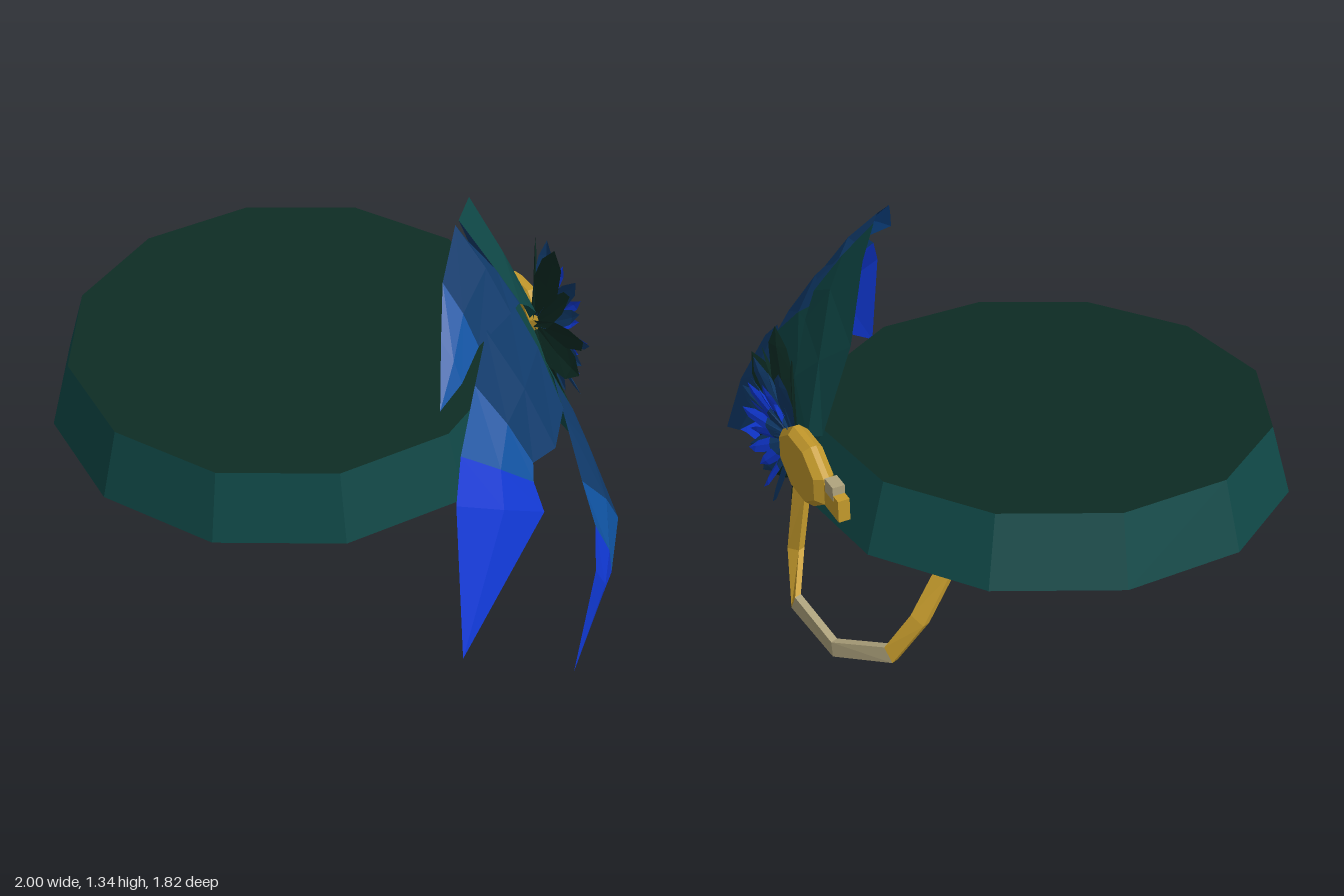
import * as THREE from 'three';

const material = (name, color, double = true) => {
  const m = new THREE.MeshStandardMaterial({ color, flatShading: true, side: double ? THREE.DoubleSide : THREE.FrontSide });
  m.name = name;
  return m;
};
const V = (a) => new THREE.Vector3(...a);

export function createModel() {
  const model = new THREE.Group();
  const darkGreen = material('dark green', 0x0d2c24);
  const teal = material('teal', 0x0f4746);
  const navy = material('navy', 0x103a6a);
  const midBlue = material('mid blue', 0x0f52a0);
  const brightBlue = material('bright blue', 0x1038d4);
  const gold = material('gold', 0xc49a2c, false);
  const pale = material('pale gold', 0xb0a47e, false);
  const plumage = [teal, navy, midBlue, brightBlue, darkGreen];

  const add = (name, geometry, mat, parent = model) => {
    const mesh = new THREE.Mesh(geometry, mat);
    mesh.name = name;
    parent.add(mesh);
    return mesh;
  };

  // Tilted twelve-sided cap: rim, crown and underside
  const cap = add('cap', new THREE.CylinderGeometry(0.75, 0.82, 0.233, 12), [teal, darkGreen, navy]);
  cap.rotation.set(0.095, -0.037, 0);
  cap.position.set(-0.18, 0.664, -0.062);

  // Feather from rows of [upper edge, lower edge, colour], closed by a tip and raised along the middle
  function feather(name, rows, tip, bulge) {
    const pos = [];
    const geo = new THREE.BufferGeometry();
    const sections = rows.map(([u, l], i) => {
      const up = V(u), low = V(l);
      const mid = up.clone().add(low).multiplyScalar(0.5);
      const next = i < rows.length - 1
        ? V(rows[i + 1][0]).add(V(rows[i + 1][1])).multiplyScalar(0.5) : V(tip);
      const out = low.clone().sub(up).cross(next.sub(mid)).normalize();
      if (out.x < 0) out.negate();
      return [up, mid.addScaledVector(out, bulge), low];
    });
    sections.push([V(tip), V(tip), V(tip)]);
    rows.forEach((row, i) => {
      const start = pos.length / 3;
      const a = sections[i], b = sections[i + 1];
      for (let k = 0; k < 2; k++) {
        const quad = [a[k], a[k + 1], b[k + 1], a[k], b[k + 1], b[k]];
        quad.forEach((p) => pos.push(p.x, p.y, p.z));
      }
      geo.addGroup(start, 12, row[2]);
    });
    geo.setAttribute('position', new THREE.Float32BufferAttribute(pos, 3));
    geo.computeVertexNormals();
    add(name, geo, plumage);
  }

  // Three long curling plumes
  feather('upperPlume', [
    [[0.47, 0.82, -0.45], [0.57, 0.75, -0.38], 0],
    [[0.39, 1.11, -0.36], [0.62, 0.88, -0.22], 0],
    [[0.39, 1.31, -0.17], [0.62, 1.0, -0.06], 0],
    [[0.40, 1.335, 0.03], [0.61, 1.06, 0.03], 1],
    [[0.43, 1.25, 0.01], [0.61, 1.08, 0.06], 1],
    [[0.40, 1.345, 0.08], [0.60, 1.09, 0.14], 1],
    [[0.41, 1.26, 0.29], [0.54, 1.08, 0.34], 2],
    [[0.44, 1.14, 0.43], [0.52, 1.03, 0.48], 2],
  ], [0.48, 1.0, 0.6], 0.012);
  feather('middlePlume', [
    [[0.50, 0.85, -0.40], [0.58, 0.68, -0.36], 0],
    [[0.53, 0.98, -0.17], [0.71, 0.70, -0.10], 0],
    [[0.55, 1.07, -0.02], [0.79, 0.79, 0.18], 1],
    [[0.55, 1.10, 0.28], [0.80, 0.76, 0.36], 1],
    [[0.56, 1.03, 0.48], [0.75, 0.77, 0.47], 2],
    [[0.56, 0.89, 0.66], [0.76, 0.72, 0.50], 3],
    [[0.57, 0.77, 0.75], [0.80, 0.62, 0.51], 3],
  ], [0.64, 0.32, 0.91], 0.015);
  feather('lowerPlume', [
    [[0.55, 0.78, -0.38], [0.60, 0.64, -0.36], 0],
    [[0.66, 0.79, -0.12], [0.72, 0.56, -0.10], 0],
    [[0.73, 0.80, 0.03], [0.83, 0.53, 0.00], 1],
    [[0.80, 0.79, 0.22], [0.91, 0.45, 0.05], 1],
    [[0.89, 0.65, 0.36], [0.99, 0.38, 0.16], 2],
    [[0.95, 0.53, 0.42], [1.0, 0.27, 0.31], 3],
    [[0.97, 0.40, 0.48], [0.985, 0.22, 0.36], 3],
  ], [0.93, 0.01, 0.52], 0.02);

  // Fans of small feathers spreading from behind the badge
  const along = V([0.62, 0, 0.78]), outward = V([0.78, 0, -0.62]), up = V([0, 1, 0]);
  const root = V([0.585, 0.74, -0.37]);
  const layers = [
    { name: 'darkFan', count: 8, length: 0.38, width: 0.055, lift: 0.0, base: 4, end: 4 },
    { name: 'navyFan', count: 9, length: 0.3, width: 0.035, lift: 0.22, base: 1, end: 1 },
    { name: 'blueFan', count: 10, length: 0.24, width: 0.025, lift: 0.42, base: 1, end: 3 },
  ];
  layers.forEach(({ name, count, length, width, lift, base, end }, layer) => {
    for (let i = 0; i < count; i++) {
      const angle = THREE.MathUtils.degToRad(-80 + (172 * i) / (count - 1) + layer * 4);
      const reach = length * (i % 2 ? 0.85 : 1);
      const dir = along.clone().multiplyScalar(Math.cos(angle)).addScaledVector(up, Math.sin(angle));
      const side = up.clone().multiplyScalar(Math.cos(angle)).addScaledVector(along, -Math.sin(angle));
      side.addScaledVector(outward, i % 2 ? 0.5 : -0.4).normalize();
      dir.addScaledVector(outward, lift).normalize();
      const at = (t, w) => root.clone().addScaledVector(dir, reach * t).addScaledVector(side, w).toArray();
      feather(name + i, [
        [at(0.05, width * 0.3), at(0.05, -width * 0.3), base],
        [at(0.55, width), at(0.5, -width), end],
        [at(0.8, width * 0.9), at(0.85, -width * 0.6), end],
      ], at(1, width * 0.3), 0.006);
    }
  });

  // Bevelled octagonal badge facing the back right
  const profile = [[0, -0.035], [0.85, -0.035], [1.02, -0.01], [1.02, 0.01], [0.85, 0.035], [0, 0.035]];
  const badgeGeo = new THREE.LatheGeometry(profile.map((p) => new THREE.Vector2(...p)), 8);
  badgeGeo.rotateY(Math.PI / 8).rotateX(Math.PI / 2).scale(0.17, 0.122, 1);
  const badge = new THREE.Group();
  badge.name = 'badge';
  badge.position.set(0.52, 0.72, -0.48);
  badge.rotation.y = Math.atan2(0.78, -0.62);
  model.add(badge);
  add('badgePlate', badgeGeo, gold, badge);

  // Clasp running from the badge along the rim
  const clasp = add('clasp', new THREE.BoxGeometry(0.12, 0.08, 0.04), gold, badge);
  clasp.position.set(0.205, -0.01, -0.01);
  const bead = add('claspBead', new THREE.BoxGeometry(0.06, 0.05, 0.042), pale, badge);
  bead.position.set(0.2, 0.035, -0.01);

  // Hanging loop: flat band swept along a path
  const path = [[0.54, 0.64, -0.47], [0.565, 0.40, -0.50], [0.53, 0.30, -0.65], [0.36, 0.27, -0.82],
    [0.16, 0.335, -0.89], [0.07, 0.47, -0.87], [0.0, 0.62, -0.79]].map(V);
  const normal = V([0.51, 0, -0.86]).normalize();
  const rings = path.map((p, i) => {
    const tangent = path[Math.min(i + 1, 6)].clone().sub(path[Math.max(i - 1, 0)]).normalize();
    const radial = tangent.cross(normal).normalize();
    return [[1, 1], [1, -1], [-1, -1], [-1, 1]].map(([r, n]) =>
      p.clone().addScaledVector(radial, r * 0.028).addScaledVector(normal, n * 0.013));
  });
  const loopPos = [];
  const loopGeo = new THREE.BufferGeometry();
  for (let i = 0; i < 6; i++) {
    for (let k = 0; k < 4; k++) {
      const j = (k + 1) % 4, a = rings[i], b = rings[i + 1];
      [a[k], a[j], b[j], a[k], b[j], b[k]].forEach((p) => loopPos.push(p.x, p.y, p.z));
    }
    loopGeo.addGroup(i * 24, 24, i === 2 || i === 3 ? 1 : 0);
  }
  loopGeo.setAttribute('position', new THREE.Float32BufferAttribute(loopPos, 3));
  loopGeo.computeVertexNormals();
  gold.side = pale.side = THREE.DoubleSide;
  add('hangingLoop', loopGeo, [gold, pale]);

  return model;
}
